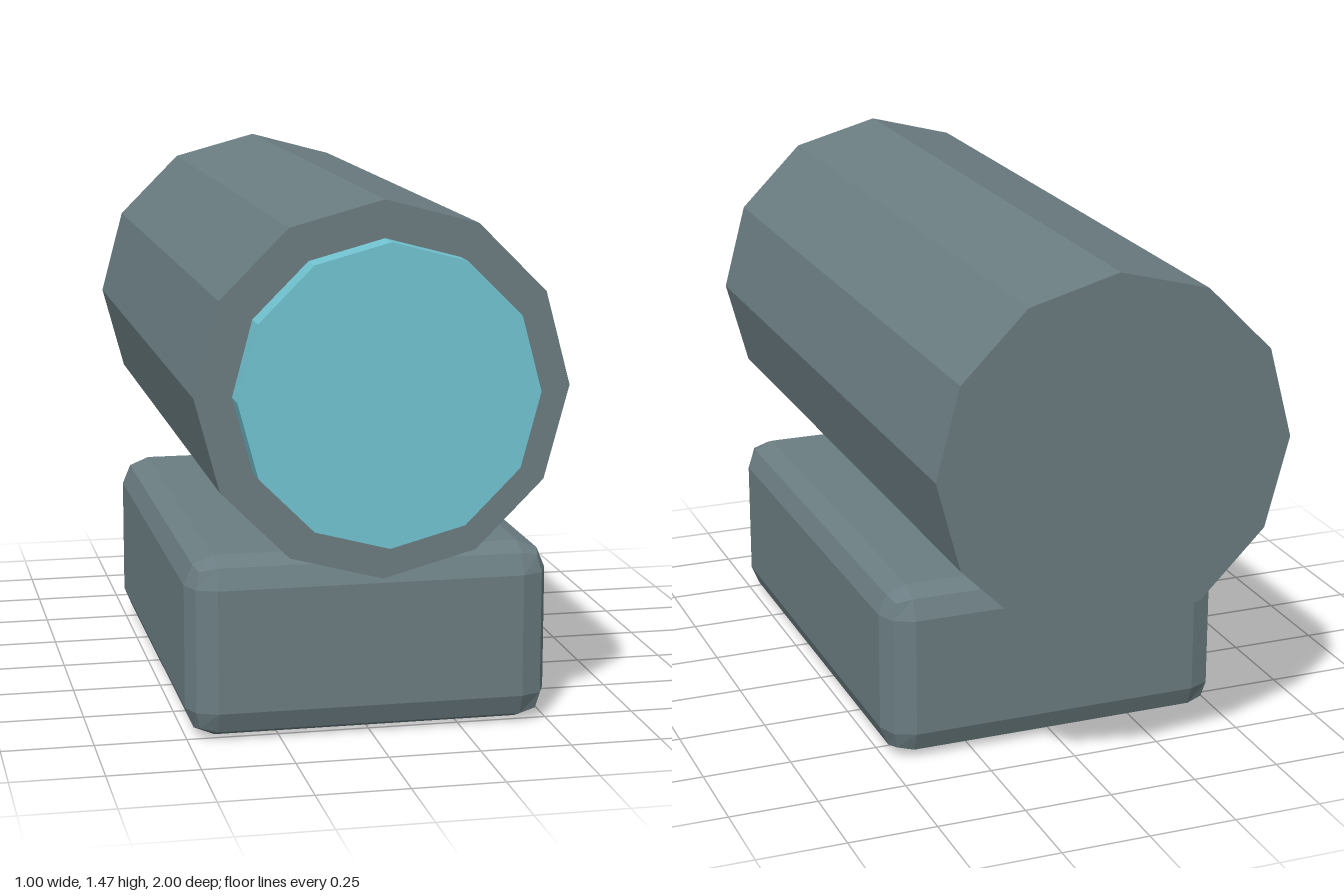
import * as THREE from 'three';
import { RoundedBoxGeometry } from 'three/addons/geometries/RoundedBoxGeometry.js';

const material = (color) => new THREE.MeshStandardMaterial({ color, flatShading: true });

// Twelve-sided cylinder lying along z between two depths
function barrel(name, radius, zBack, zFront, mat) {
  const geometry = new THREE.CylinderGeometry(radius, radius, zFront - zBack, 12);
  geometry.rotateX(Math.PI / 2);
  const mesh = new THREE.Mesh(geometry, mat);
  mesh.name = name;
  mesh.position.set(0, 0.965, (zBack + zFront) / 2);
  return mesh;
}

export function createModel() {
  const group = new THREE.Group();
  group.name = 'sight';
  const bodyMaterial = material(0x6b7d82);
  const lensMaterial = material(0x72c4d2);

  // Bevelled mounting block
  const mount = new THREE.Mesh(new RoundedBoxGeometry(1, 0.5, 1.42, 1, 0.08), bodyMaterial);
  mount.name = 'mount';
  mount.position.set(0, 0.25, 0.09);

  // Tube with the lens standing proud of its front end
  const tube = barrel('tube', 0.5, -1, 0.92, bodyMaterial);
  const lens = barrel('lens', 0.4, 0.9, 1, lensMaterial);

  group.add(mount, tube, lens);
  return group;
}
